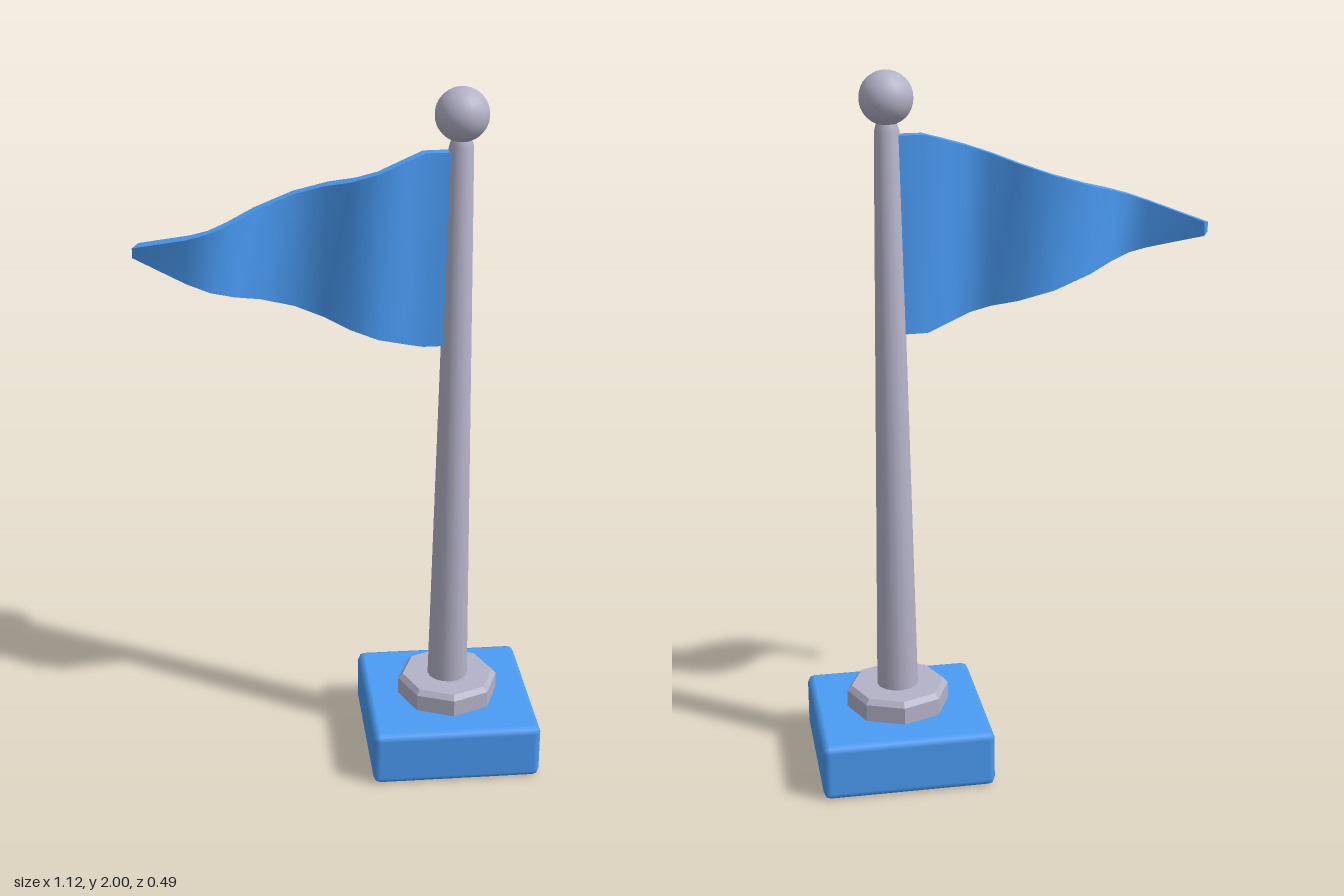
import * as THREE from 'three';
import { toCreasedNormals } from 'three/addons/utils/BufferGeometryUtils.js';
import { RoundedBoxGeometry } from 'three/addons/geometries/RoundedBoxGeometry.js';

const POLE_X = 0.32, POLE_Z = 0.007;

// Turned part around the pole axis; profile is [radius, y] from bottom to top
function turned(profile, sides, crease) {
  const points = profile.map(([r, y]) => new THREE.Vector2(r, y));
  return toCreasedNormals(new THREE.LatheGeometry(points, sides), crease);
}

// Thick tapering pennant swept along a wavy [x, z] centre line
function pennantGeometry(path, thickness, midY, heightAt) {
  const positions = [], index = [];
  path.forEach(([x, z], i) => {
    const a = path[Math.max(i - 1, 0)], b = path[Math.min(i + 1, path.length - 1)];
    const t = new THREE.Vector2(b[0] - a[0], b[1] - a[1]).normalize();
    const nx = t.y * thickness / 2, nz = -t.x * thickness / 2;
    // ring order: front top, back top, back bottom, front bottom
    for (const [side, up] of [[1, 1], [-1, 1], [-1, -1], [1, -1]]) {
      const px = x + side * nx;
      positions.push(px, midY + up * heightAt(px), z + side * nz);
    }
  });
  const quad = (a, b, c, d) => index.push(a, b, c, a, c, d);
  const last = (path.length - 1) * 4;
  for (let i = 0; i < last; i += 4) {
    for (let k = 0; k < 4; k++) {
      const n = (k + 1) % 4;
      quad(i + n, i + 4 + n, i + 4 + k, i + k);
    }
  }
  quad(3, 2, 1, 0);
  quad(last, last + 1, last + 2, last + 3);
  const geometry = new THREE.BufferGeometry();
  geometry.setAttribute('position', new THREE.Float32BufferAttribute(positions, 3));
  geometry.setIndex(index);
  return toCreasedNormals(geometry, 0.8);
}

export function createModel() {
  const group = new THREE.Group();
  const blue = new THREE.MeshStandardMaterial({ color: 0x4a9cf5 });
  const grey = new THREE.MeshStandardMaterial({ color: 0xb4b2c8 });

  function add(name, geometry, material, x = 0, y = 0, z = 0) {
    const mesh = new THREE.Mesh(geometry, material);
    mesh.name = name;
    mesh.position.set(x, y, z);
    group.add(mesh);
  }

  // Square base with softened edges
  add('base', new RoundedBoxGeometry(0.49, 0.165, 0.49, 1, 0.02), blue, POLE_X, 0.0825, 0);

  // Octagonal collar with a chamfered top edge
  add('collar', turned([[0, 0.15], [0.148, 0.15], [0.148, 0.215], [0.135, 0.23], [0, 0.23]], 8, 0.5),
    grey, POLE_X, 0, POLE_Z);

  // Tapered pole
  add('pole', turned([[0, 0.2], [0.06, 0.2], [0.034, 1.84], [0.028, 1.86], [0, 1.86]], 16, 0.6),
    grey, POLE_X, 0, POLE_Z);

  // Ball on top of the pole
  add('finial', new THREE.SphereGeometry(0.073, 24, 16), grey, POLE_X, 1.927, POLE_Z);

  // Waving pennant
  const path = [
    [0.295, 0.007], [0.222, 0.008], [0.165, 0.028], [0.096, 0.053], [0.03, 0.037],
    [-0.037, -0.011], [-0.125, -0.037], [-0.225, -0.012], [-0.297, 0.033],
    [-0.355, 0.053], [-0.41, 0.037], [-0.551, -0.053],
  ];
  const halfHeight = (x) => THREE.MathUtils.mapLinear(Math.min(x, 0.222), -0.565, 0.222, 0.012, 0.273);
  add('pennant', pennantGeometry(path, 0.033, 1.556, halfHeight), blue);

  return group;
}
